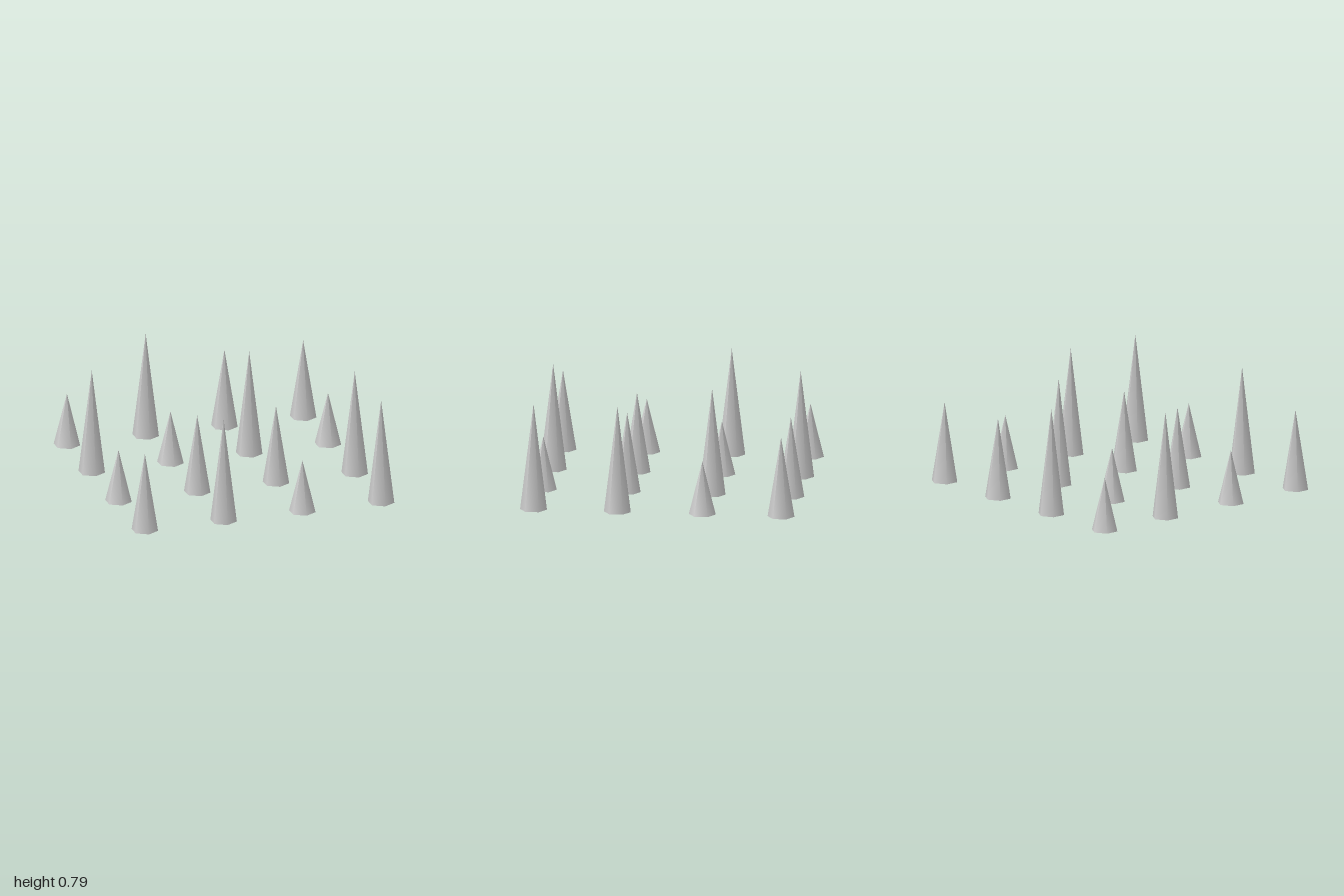
import * as THREE from 'three';

export function createModel() {
  const group = new THREE.Group();
  const material = new THREE.MeshStandardMaterial({ color: 0xcccccc, side: THREE.DoubleSide });

  // Hollow six-sided spikes in three heights, open at the base
  const spikes = [0.395, 0.592, 0.788].map((height) =>
    new THREE.ConeGeometry(0.098, height, 6, 1, true).translate(0, height / 2, 0));
  const names = ['shortSpike', 'mediumSpike', 'tallSpike'];

  // Height of each spike, rows from back to front, columns from -x to +x
  const columns = [-0.9, -0.3, 0.3, 0.9];
  const rows = [
    { z: -0.902, sizes: [0, 2, 1, 1] },
    { z: -0.328, sizes: [2, 0, 2, 0] },
    { z: 0.291, sizes: [0, 1, 1, 2] },
    { z: 0.902, sizes: [1, 2, 0, 2] },
  ];

  for (const { z, sizes } of rows) {
    sizes.forEach((size, i) => {
      const spike = new THREE.Mesh(spikes[size], material);
      spike.name = names[size];
      spike.position.set(columns[i], 0, z);
      group.add(spike);
    });
  }
  return group;
}
